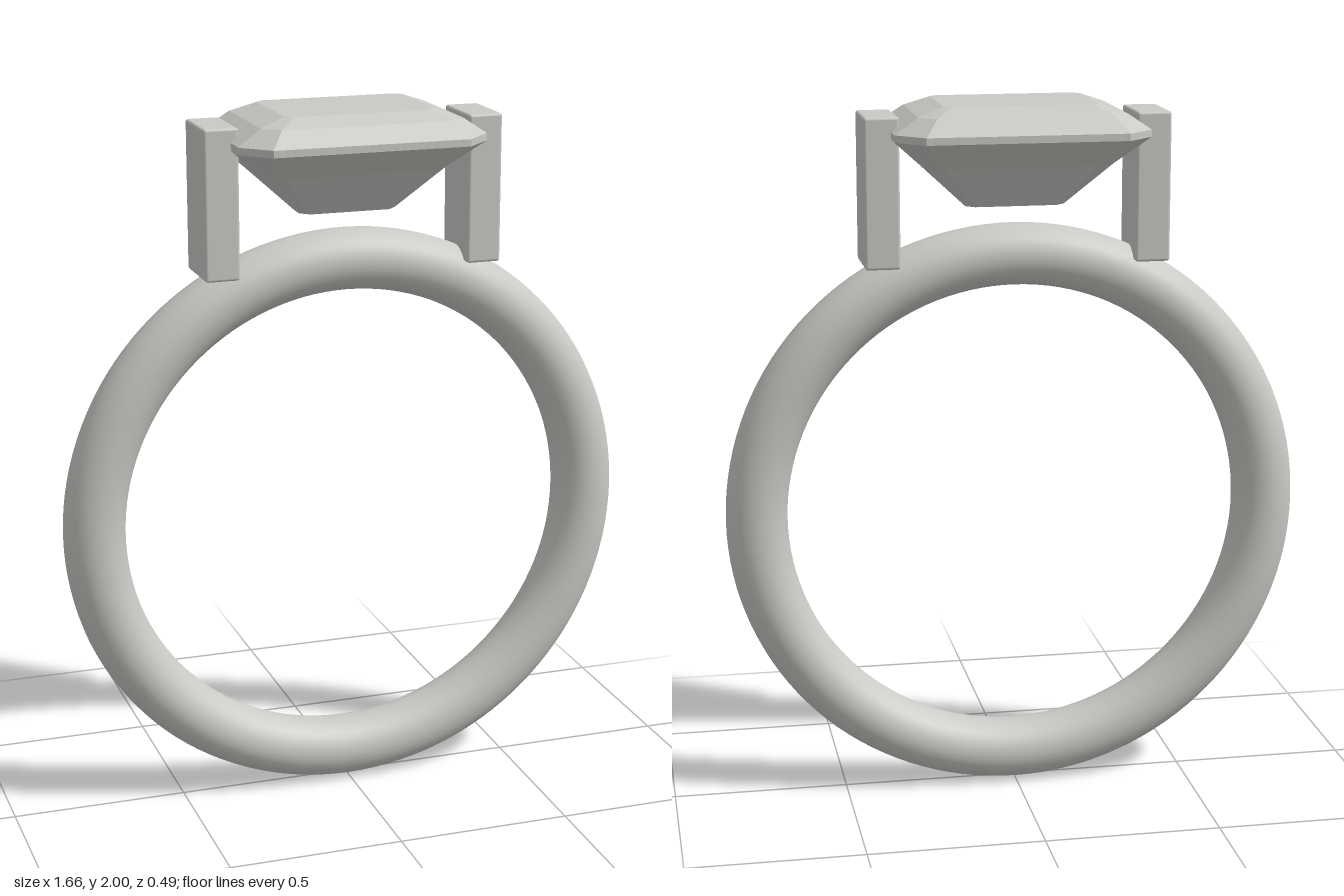
import * as THREE from 'three';
import { RoundedBoxGeometry } from 'three/addons/geometries/RoundedBoxGeometry.js';

// Octagonal section: a rectangle of half sizes hx, hz with its corners cut by c
function octagon([y, hx, hz, c]) {
  const corners = [
    [hx, -hz + c], [hx, hz - c], [hx - c, hz], [-hx + c, hz],
    [-hx, hz - c], [-hx, -hz + c], [-hx + c, -hz], [hx - c, -hz],
  ];
  return corners.map(([x, z]) => [x, y, z]);
}

// Closed, faceted solid through sections listed from bottom to top
function facetedSolid(sections) {
  const rings = sections.map(octagon);
  const positions = [];
  const tri = (a, b, c) => positions.push(...a, ...b, ...c);
  const bottom = [0, sections[0][0], 0];
  const top = [0, sections[sections.length - 1][0], 0];
  const last = rings[rings.length - 1];
  for (let i = 0; i < 8; i++) {
    const j = (i + 1) % 8;
    for (let r = 0; r < rings.length - 1; r++) {
      const a = rings[r], b = rings[r + 1];
      tri(a[i], b[i], a[j]);
      tri(a[j], b[i], b[j]);
    }
    tri(bottom, rings[0][i], rings[0][j]);
    tri(top, last[j], last[i]);
  }
  const geometry = new THREE.BufferGeometry();
  geometry.setAttribute('position', new THREE.Float32BufferAttribute(positions, 3));
  geometry.computeVertexNormals(); // unshared corners give flat facets
  return geometry;
}

export function createModel() {
  const group = new THREE.Group();
  group.name = 'ring';
  const metal = new THREE.MeshStandardMaterial({ color: 0xcbc9c5 });
  metal.name = 'pale grey';

  const add = (name, geometry, x = 0, y = 0) => {
    const mesh = new THREE.Mesh(geometry, metal);
    mesh.name = name;
    mesh.position.set(x, y, 0);
    group.add(mesh);
  };

  // Round band
  add('band', new THREE.TorusGeometry(0.741, 0.0875, 32, 128), 0, 0.8285);

  // Upright posts gripping the stone
  for (const [name, side] of [['leftPost', 1], ['rightPost', -1]]) {
    add(name, new RoundedBoxGeometry(0.098, 0.42, 0.192, 2, 0.008), side * 0.381, 1.76);
  }

  // Emerald-cut stone: pavilion, girdle, crown, table
  add('stone', facetedSolid([
    [1.71, 0.14, 0.045, 0.025],
    [1.83, 0.268, 0.138, 0.05],
    [1.91, 0.355, 0.243, 0.076],
    [1.93, 0.355, 0.243, 0.076],
    [1.975, 0.288, 0.2, 0.045],
    [2.0, 0.215, 0.15, 0.02],
  ]));

  return group;
}
